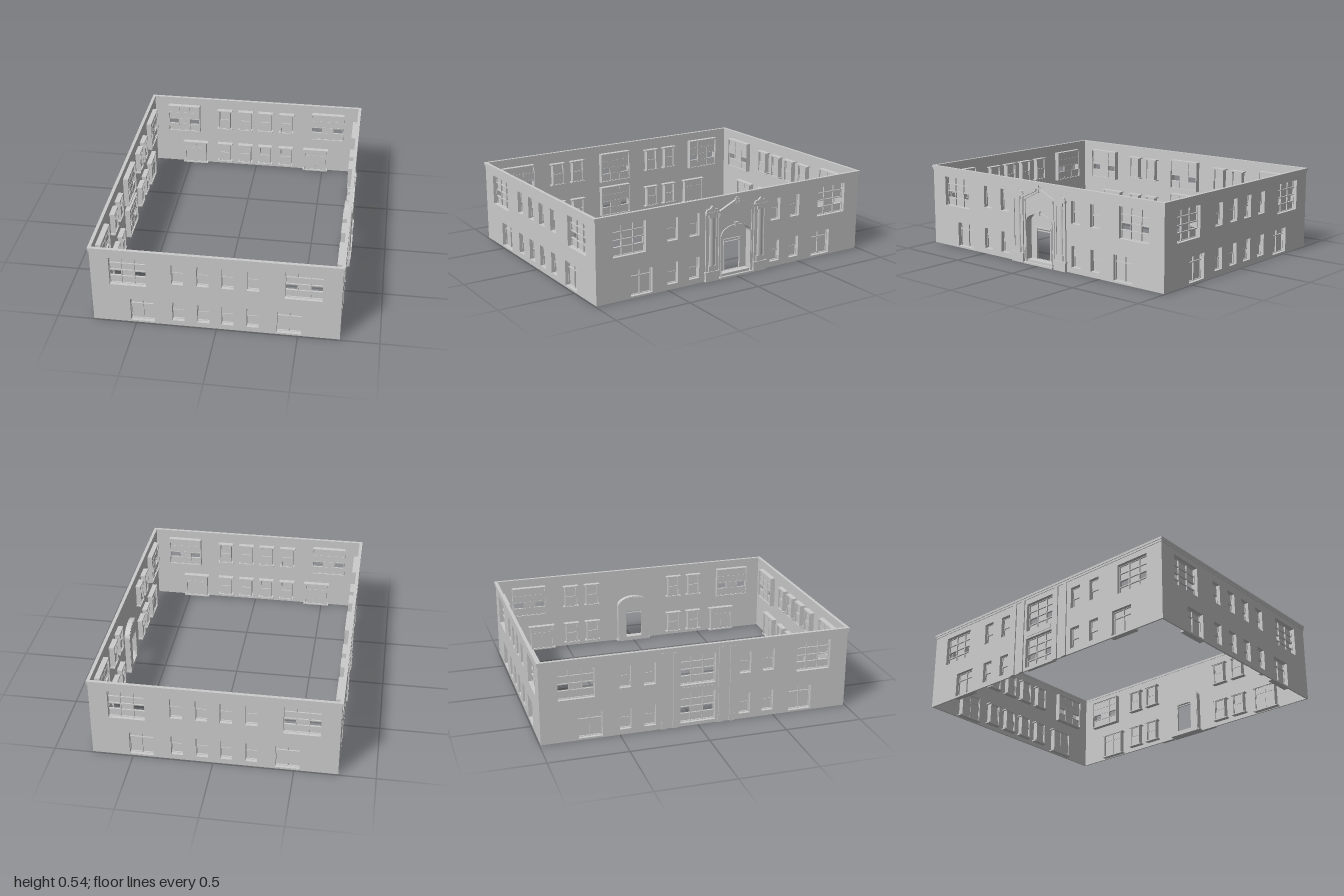
import * as THREE from 'three';

const mat = new THREE.MeshStandardMaterial({ color: 0xcccccc, side: THREE.DoubleSide });
const H = 0.535, T = 0.01, DEEP = 0.044;

function add(parent, name, geo, x = 0, y = 0, z = 0) {
  const m = new THREE.Mesh(geo, mat);
  m.name = name;
  m.position.set(x, y, z);
  parent.add(m);
  return m;
}

// box given by its limits
function block(parent, name, x0, x1, y0, y1, z0, z1) {
  return add(parent, name, new THREE.BoxGeometry(x1 - x0, y1 - y0, z1 - z0),
    (x0 + x1) / 2, (y0 + y1) / 2, (z0 + z1) / 2);
}

function rect(P, x0, x1, y0, y1) {
  const p = new P();
  p.moveTo(x0, y0); p.lineTo(x1, y0); p.lineTo(x1, y1); p.lineTo(x0, y1); p.closePath();
  return p;
}

// segmental-arch outline
function arch(P, w, y0, spring, top) {
  const p = new P();
  p.moveTo(-w, y0); p.lineTo(w, y0); p.lineTo(w, spring);
  for (let i = 1; i <= 16; i++) {
    const a = Math.PI * i / 16;
    p.lineTo(w * Math.cos(a), spring + (top - spring) * Math.sin(a));
  }
  p.closePath();
  return p;
}

const extrude = (shape, depth) => new THREE.ExtrudeGeometry(shape, { depth, bevelEnabled: false });

// polygon from points, extruded outward
function plate(parent, name, pts, z, depth) {
  return add(parent, name, extrude(new THREE.Shape(pts.map(p => new THREE.Vector2(...p))), depth), 0, 0, z);
}

// window set behind its opening: deep reveals, bars and panes
function makeWindow(parent, w) {
  const g = new THREE.Group();
  g.name = w.type + 'Window';
  parent.add(g);
  const { x0, x1, y0, y1, type } = w, t = 0.005, wide = type === 'triple' ? t : 0.018;
  block(g, 'sill', x0 - wide, x1 + wide, y0 - 0.008, y0, -DEEP, -T);
  block(g, 'head', x0 - wide, x1 + wide, y1, y1 + 0.008, -DEEP, -T);
  block(g, 'jamb', x0 - t, x0, y0, y1, -DEEP, -T);
  block(g, 'jamb', x1, x1 + t, y0, y1, -DEEP, -T);

  const cols = { sash: [0, 1], pair: [0, 0.5, 1], triple: [0, 0.325, 0.675, 1] }[type];
  const rows = { sash: [0, 0.5, 1], pair: [0, 0.72, 1], triple: [0, 0.26, 0.49, 0.74, 1] }[type];
  const X = f => x0 + f * (x1 - x0), Y = f => y0 + f * (y1 - y0), b = 0.003;
  cols.forEach(f => block(g, 'mullion', Math.max(x0, X(f) - b), Math.min(x1, X(f) + b), y0, y1, -0.036, -0.022));
  rows.forEach(f => block(g, 'rail', x0, x1, Math.max(y0, Y(f) - b), Math.min(y1, Y(f) + b), -0.036, -0.022));
  for (let c = 0; c < cols.length - 1; c++) {
    for (let r = 0; r < rows.length - 1; r++) {
      if (type === 'triple' && r === 1 && c !== 1) continue; // vents stand open
      const z = type === 'sash' && r === 1 ? -0.027 : -0.032;
      block(g, 'pane', X(cols[c]), X(cols[c + 1]), Y(rows[r]), Y(rows[r + 1]), z - 0.001, z + 0.001);
    }
  }
}

const centred = (type, x, w, y0, y1) => ({ type, x0: x - w / 2, x1: x + w / 2, y0, y1 });

// mirrored windows of a facade
function facadeWindows(big, low, smalls) {
  const list = [];
  for (const s of [-1, 1]) {
    list.push(centred('triple', s * big, 0.226, 0.275, 0.47));
    list.push(centred('pair', s * low, 0.15, 0.012, 0.172));
    for (const x of smalls) {
      list.push(centred('sash', s * x, 0.074, 0.31, 0.452));
      list.push(centred('sash', s * x, 0.074, 0.035, 0.172));
    }
  }
  return list;
}

// wall with its outer face on local z = 0
function makeWall(name, length, windows, extraHoles = []) {
  const g = new THREE.Group();
  g.name = name;
  const h = length / 2;
  const shape = rect(THREE.Shape, -h, h, 0, H);
  for (const w of windows) shape.holes.push(rect(THREE.Path, w.x0, w.x1, w.y0, w.y1));
  shape.holes.push(...extraHoles);
  add(g, 'wallPanel', extrude(shape, T), 0, 0, -T);
  windows.forEach(w => makeWindow(g, w));
  block(g, 'corniceTop', -h - 0.008, h + 0.008, 0.52, H, -T - 0.003, 0.008);
  block(g, 'corniceBed', -h - 0.004, h + 0.004, 0.506, 0.52, -T, 0.004);
  return g;
}

function makeEntrance(wall) {
  const g = new THREE.Group();
  g.name = 'entrance';
  wall.add(g);
  // deep arched niche with an open doorway
  const ring = arch(THREE.Shape, 0.116, 0, 0.27, 0.338);
  ring.holes.push(arch(THREE.Path, 0.11, 0.001, 0.27, 0.33));
  add(g, 'archReveal', extrude(ring, 0.052), 0, 0, -0.044);
  const back = arch(THREE.Shape, 0.112, 0, 0.27, 0.332);
  back.holes.push(rect(THREE.Path, -0.058, 0.058, 0.03, 0.23));
  add(g, 'doorWall', extrude(back, 0.006), 0, 0, -0.046);
  for (const s of [-1, 1]) block(g, 'doorJamb', s * 0.061 - 0.004, s * 0.061 + 0.004, 0.03, 0.235, -0.045, -0.034);
  block(g, 'doorHead', -0.065, 0.065, 0.228, 0.236, -0.045, -0.032);
  block(g, 'doorTransom', -0.058, 0.058, 0.212, 0.217, -0.045, -0.036);
  block(g, 'lowerStep', -0.125, 0.125, 0, 0.012, -0.044, 0.02);
  block(g, 'upperStep', -0.105, 0.105, 0.012, 0.028, -0.044, 0.006);

  for (const s of [-1, 1]) {
    const c = s * 0.183;
    // pier with pedestal, round shaft and capital
    block(g, 'pedestal', c - 0.05, c + 0.05, 0, 0.055, 0, 0.017);
    block(g, 'pedestalCap', c - 0.053, c + 0.053, 0.055, 0.064, 0, 0.019);
    block(g, 'pierBack', c - 0.045, c + 0.045, 0.064, 0.43, 0, 0.004);
    for (const e of [-1, 1]) block(g, 'pierStrip', c + e * 0.038 - 0.008, c + e * 0.038 + 0.008, 0.064, 0.43, 0, 0.009);
    block(g, 'shaftPlinth', c - 0.026, c + 0.026, 0.064, 0.1, 0, 0.014);
    const shaft = add(g, 'shaft', new THREE.CylinderGeometry(0.018, 0.021, 0.31, 20), c, 0.255, 0.003);
    shaft.scale.z = 0.55;
    block(g, 'capital', c - 0.026, c + 0.026, 0.408, 0.43, 0, 0.015);
    block(g, 'entablature', c - 0.05, c + 0.05, 0.43, 0.446, 0, 0.016);
    // small peaked crown
    plate(g, 'pierCrown', [[c - 0.046, 0.446], [c + 0.046, 0.446], [c + 0.04, 0.463], [c + 0.018, 0.466],
      [c, 0.484], [c - 0.018, 0.466], [c - 0.04, 0.463]], 0, 0.013);
    // raking gable mouldings and inner edge strip
    plate(g, 'gableRake', [[s * 0.132, 0.425], [s * 0.132, 0.442], [s * 0.012, 0.497], [s * 0.012, 0.48]], 0, 0.016);
    plate(g, 'gableBed', [[s * 0.125, 0.412], [s * 0.125, 0.425], [s * 0.012, 0.478], [s * 0.012, 0.465]], 0, 0.009);
    block(g, 'gableStrip', s * 0.125 - 0.006, s * 0.125 + 0.006, 0.028, 0.43, 0, 0.007);
    add(g, 'gableScroll', new THREE.SphereGeometry(0.008, 12, 8), s * 0.012, 0.497, 0.008);
  }
  block(g, 'finial', -0.007, 0.007, 0.47, 0.515, 0, 0.014);
  plate(g, 'keystone', [[-0.009, 0.325], [0.009, 0.325], [0.014, 0.352], [-0.014, 0.352]], 0, 0.013);
}

export function createModel() {
  const model = new THREE.Group();
  model.name = 'building';
  const xL = -0.77, xR = 0.757, zF = 0.992, mid = (xL + xR) / 2;

  // front and back facades
  for (const s of [1, -1]) {
    const wall = makeWall(s > 0 ? 'frontWall' : 'backWall', xR - xL, facadeWindows(0.535, 0.4525, [0.075, 0.23]));
    wall.position.set(mid, 0, s * zF);
    wall.rotation.y = s > 0 ? 0 : Math.PI;
    model.add(wall);
  }

  // side with the arched entrance
  const sides = () => facadeWindows(0.764, 0.683, [0.308, 0.463]);
  const entry = makeWall('entranceWall', zF * 2, sides(), [arch(THREE.Path, 0.112, 0.001, 0.27, 0.332)]);
  entry.position.x = xR;
  entry.rotation.y = Math.PI / 2;
  makeEntrance(entry);
  model.add(entry);

  // opposite side with a stacked central bay between pilasters
  const bay = [centred('triple', 0, 0.226, 0.022, 0.222), centred('triple', 0, 0.226, 0.275, 0.47)];
  const rear = makeWall('bayWall', zF * 2, [...sides(), ...bay]);
  rear.position.x = xL;
  rear.rotation.y = -Math.PI / 2;
  for (const s of [-1, 1]) {
    for (const x of [0.147, 0.222]) {
      block(rear, 'pilaster', s * x - 0.015, s * x + 0.015, 0, 0.506, 0, 0.007);
      block(rear, 'pilasterBase', s * x - 0.017, s * x + 0.017, 0, 0.05, 0, 0.008);
    }
  }
  block(rear, 'spandrel', -0.105, 0.105, 0.235, 0.262, 0, 0.003);
  model.add(rear);
  return model;
}
